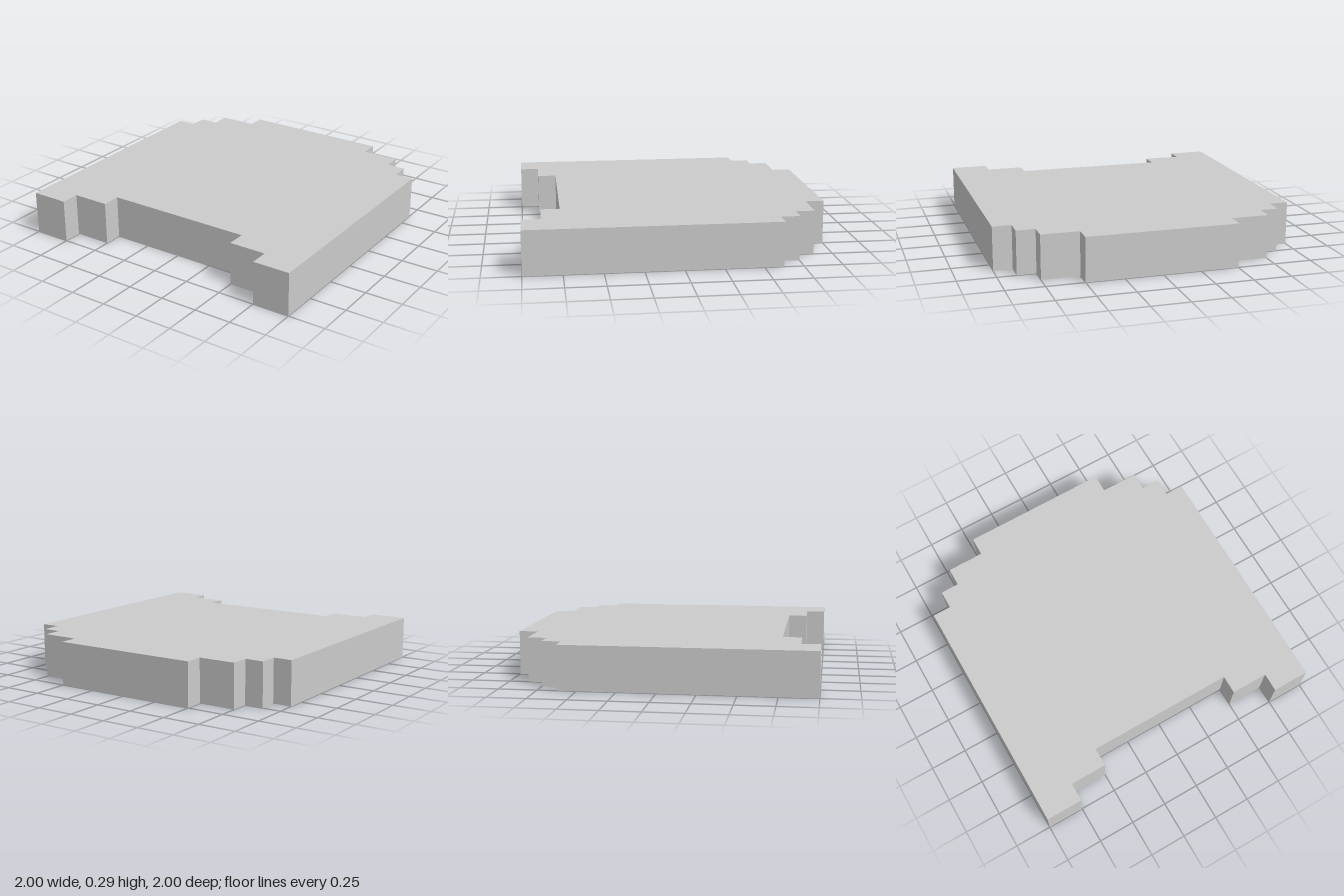
import * as THREE from 'three';

export function createModel() {
  const group = new THREE.Group();
  const height = 0.29;

  // Left half of the stepped outline as [x, z], from front notch to back edge
  const half = [
    [0.5, 0.75], [0.5, 0.875], [0.75, 0.875], [0.75, 1], [1, 1],
    [1, -0.625], [0.875, -0.625], [0.875, -0.75], [0.75, -0.75],
    [0.75, -0.875], [0.5, -0.875], [0.5, -1],
  ];
  const mirrored = half.map(([x, z]) => [-x, z]).reverse();
  const outline = [...half, ...mirrored].map(([x, z]) => new THREE.Vector2(x, -z));

  // Flat slab, extruded and laid down so its thickness runs along y
  const geometry = new THREE.ExtrudeGeometry(new THREE.Shape(outline), {
    depth: height,
    bevelEnabled: false,
  });
  geometry.rotateX(-Math.PI / 2);

  const slab = new THREE.Mesh(
    geometry,
    new THREE.MeshStandardMaterial({ color: 0xcccccc, flatShading: true })
  );
  slab.name = 'steppedSlab';
  group.add(slab);
  return group;
}
